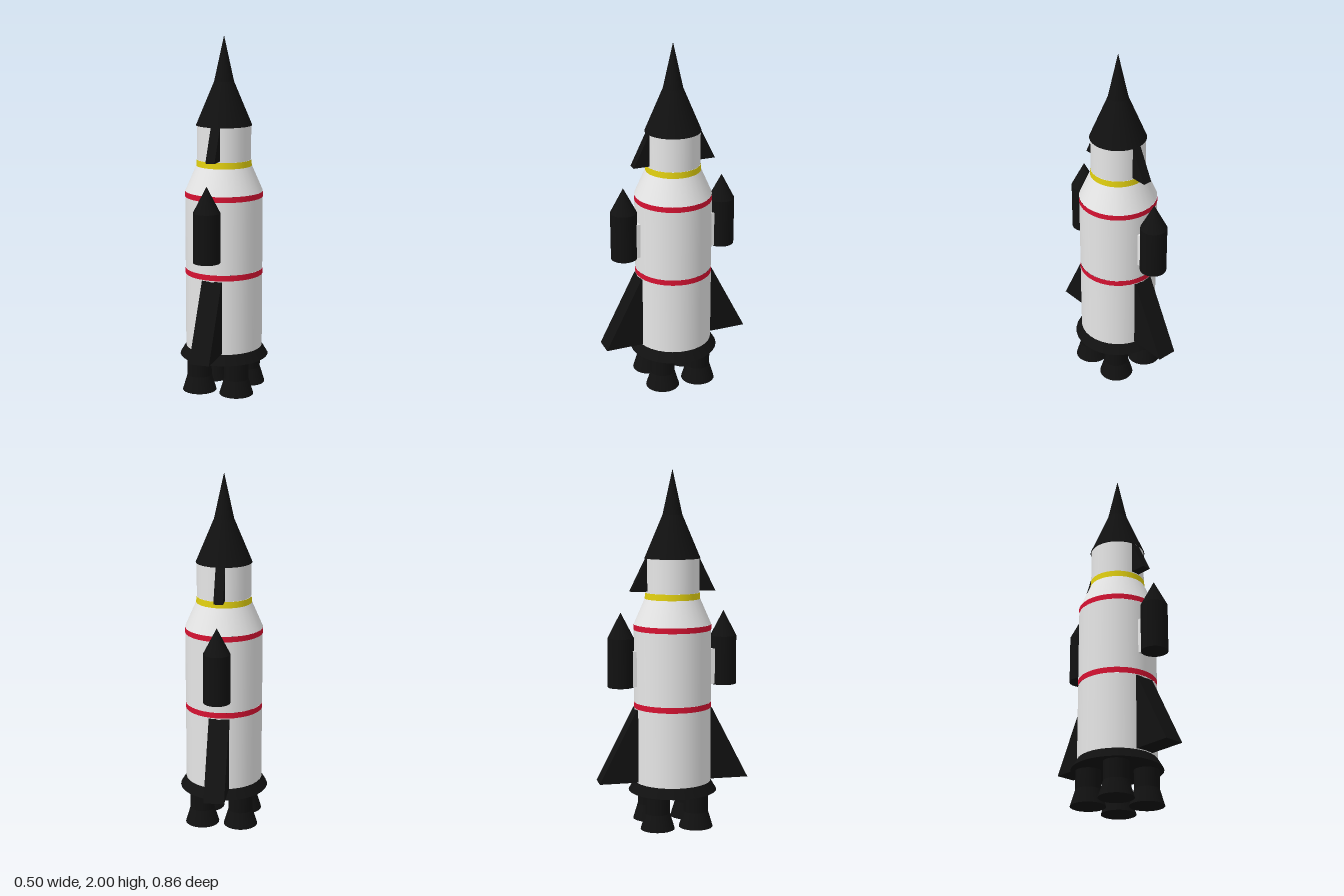
import * as THREE from 'three';

const material = (name, color) => {
  const m = new THREE.MeshStandardMaterial({ color });
  m.name = name;
  return m;
};

export function createModel() {
  const white = material('hull white', 0xe6e6e6);
  const black = material('black', 0x111111);
  const red = material('stripe red', 0xd81232);
  const yellow = material('stripe yellow', 0xe2d010);

  const model = new THREE.Group();
  model.name = 'rocket';

  const add = (parent, name, geometry, mat) => {
    const mesh = new THREE.Mesh(geometry, mat);
    mesh.name = name;
    parent.add(mesh);
    return mesh;
  };

  // Round section between two heights
  const section = (parent, name, mat, y0, r0, y1, r1, open = true) => {
    const geometry = new THREE.CylinderGeometry(r1, r0, y1 - y0, 32, 1, open);
    geometry.translate(0, (y0 + y1) / 2, 0);
    return add(parent, name, geometry, mat);
  };

  // Triangular fin standing on the hull, pointing to +z
  const fin = (parent, name, inner, outer, bottom, top, width) => {
    const shape = new THREE.Shape();
    shape.moveTo(inner - 0.04, bottom);
    shape.lineTo(outer, bottom);
    shape.lineTo(inner, top);
    shape.lineTo(inner - 0.04, top);
    const geometry = new THREE.ExtrudeGeometry(shape, { depth: width, bevelEnabled: false });
    geometry.translate(0, 0, -width / 2);
    geometry.rotateY(-Math.PI / 2);
    add(parent, name, geometry, black);
  };

  // Hull, bottom to top
  section(model, 'baseSkirt', black, 0.195, 0.25, 0.25, 0.217, false);
  section(model, 'lowerHull', white, 0.25, 0.217, 0.673, 0.217);
  section(model, 'lowerRedStripe', red, 0.673, 0.218, 0.705, 0.218);
  section(model, 'middleHull', white, 0.705, 0.217, 1.112, 0.217);
  section(model, 'upperRedStripe', red, 1.112, 0.218, 1.143, 0.218);
  section(model, 'shoulder', white, 1.143, 0.217, 1.285, 0.155);
  section(model, 'yellowStripe', yellow, 1.285, 0.155, 1.32, 0.153);
  section(model, 'upperHull', white, 1.32, 0.151, 1.515, 0.151);

  // Two-stage nose cone
  section(model, 'noseCone', black, 1.51, 0.156, 1.75, 0.055, false);
  section(model, 'noseTip', black, 1.75, 0.055, 2, 0);

  // Four engines with flared nozzles
  for (const x of [-0.11, 0.11]) {
    for (const z of [-0.11, 0.11]) {
      const engine = new THREE.Group();
      engine.name = 'engine';
      engine.position.set(x, 0, z);
      section(engine, 'engineBody', black, 0.09, 0.069, 0.2, 0.069);
      section(engine, 'nozzle', black, 0, 0.096, 0.09, 0.069, false);
      model.add(engine);
    }
  }

  // Fins and side boosters, front and back
  ['front', 'back'].forEach((side, i) => {
    const group = new THREE.Group();
    group.name = side + 'Attachments';
    group.rotation.y = i * Math.PI;
    fin(group, 'lowerFin', 0.215, 0.428, 0.255, 0.668, 0.114);
    fin(group, 'upperFin', 0.15, 0.24, 1.328, 1.51, 0.052);

    const booster = new THREE.Group();
    booster.name = 'booster';
    booster.position.z = 0.295;
    section(booster, 'boosterBody', black, 0.795, 0.074, 1.07, 0.074, false);
    section(booster, 'boosterNose', black, 1.07, 0.074, 1.213, 0);
    group.add(booster);

    const strut = add(group, 'boosterStrut', new THREE.BoxGeometry(0.086, 0.2, 0.08), white);
    strut.position.set(0, 0.9, 0.225);
    model.add(group);
  });

  return model;
}
